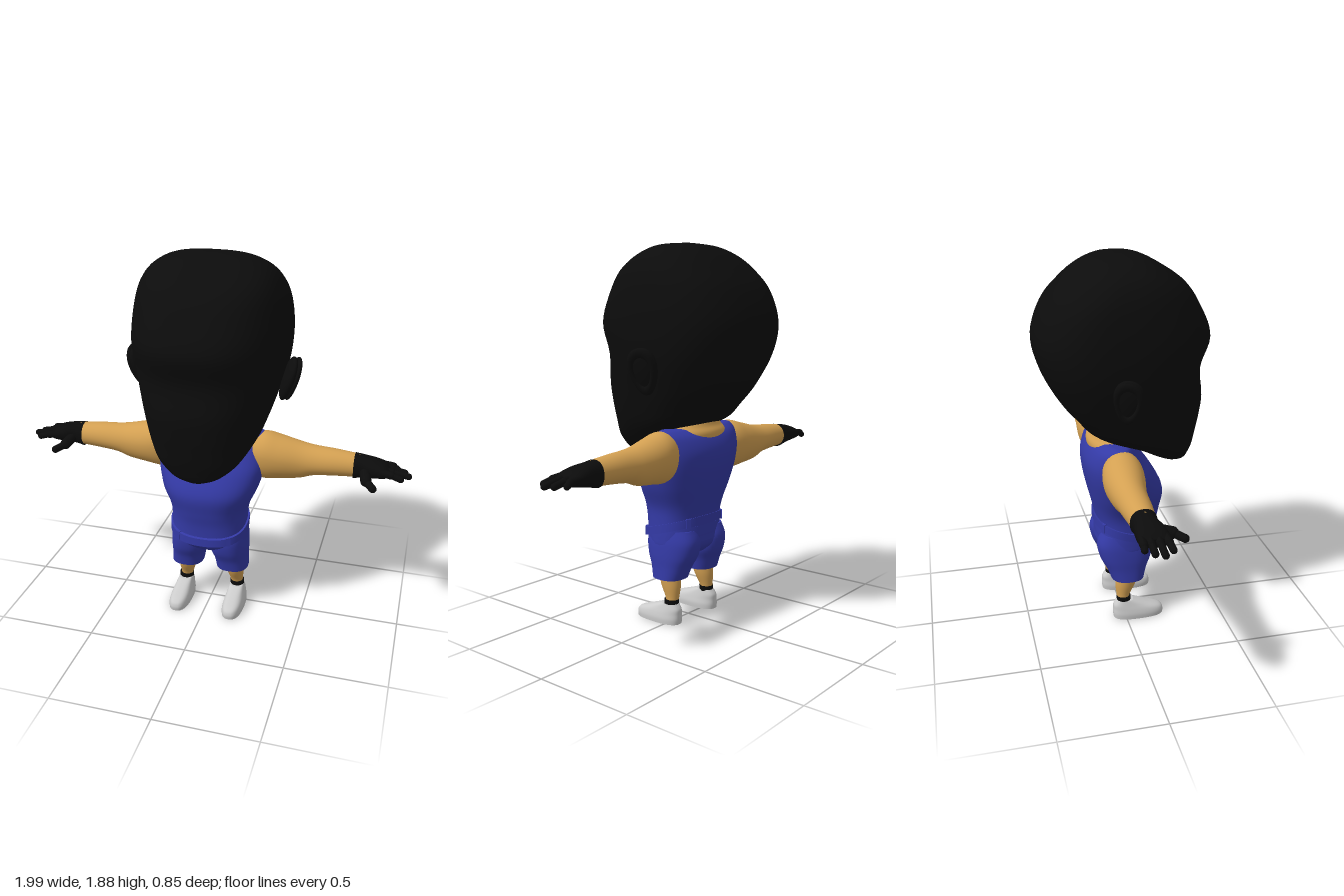
import * as THREE from 'three';

const mat = (color) => new THREE.MeshStandardMaterial({ color });

// Smooth value through the column of a section table (Catmull-Rom)
function sample(rows, f, k) {
  const last = rows.length - 1;
  const i = Math.min(Math.floor(f), last - 1), t = f - i;
  const p = (j) => rows[Math.min(Math.max(j, 0), last)][k];
  const [a, b, c, d] = [p(i - 1), p(i), p(i + 1), p(i + 2)];
  return 0.5 * (2 * b + (c - a) * t + (2 * a - 5 * b + 4 * c - d) * t * t + (3 * b - a - 3 * c + d) * t * t * t);
}

// Closed skin through superellipse sections stacked along y.
// Row: [y, centre x, centre z, radius x, radius +z, radius -z]
function loft(rows, power = 2, steps = 5, segs = 40) {
  const pos = [], idx = [];
  const rings = (rows.length - 1) * steps;
  const ring = (f, scale) => {
    const [y, cx, cz, rx, rf, rb] = [0, 1, 2, 3, 4, 5].map((k) => sample(rows, f, k));
    for (let s = 0; s < segs; s++) {
      const a = (s / segs) * Math.PI * 2, c = Math.cos(a), n = Math.sin(a);
      const bend = (v) => Math.sign(v) * Math.abs(v) ** (2 / power) * scale;
      pos.push(cx + rx * bend(c), y, cz + (n > 0 ? rf : rb) * bend(n));
    }
  };
  // Doubled end rings keep the cap edges crisp
  ring(0, 0); ring(0, 1);
  for (let r = 0; r <= rings; r++) ring(r / steps, 1);
  ring(rows.length - 1, 1); ring(rows.length - 1, 0);
  for (let r = 0; r < rings + 4; r++) {
    for (let s = 0; s < segs; s++) {
      const a = r * segs + s, b = r * segs + (s + 1) % segs;
      idx.push(a, a + segs, b, b, a + segs, b + segs);
    }
  }
  const g = new THREE.BufferGeometry();
  g.setAttribute('position', new THREE.Float32BufferAttribute(pos, 3));
  g.setIndex(idx);
  g.computeVertexNormals();
  return g;
}

// Turns a stacked loft sideways: y -> x, x -> z, z -> y
const alongX = (g) => g.applyMatrix4(new THREE.Matrix4().makeBasis(
  new THREE.Vector3(0, 0, 1), new THREE.Vector3(1, 0, 0), new THREE.Vector3(0, 1, 0)));

// Rounded rod between two points
function rod(a, b, radius) {
  const from = new THREE.Vector3(...a), to = new THREE.Vector3(...b);
  const dir = to.clone().sub(from);
  const g = new THREE.CapsuleGeometry(radius, dir.length(), 6, 14);
  g.applyQuaternion(new THREE.Quaternion().setFromUnitVectors(new THREE.Vector3(0, 1, 0), dir.normalize()));
  return g.translate(...from.add(to).multiplyScalar(0.5).toArray());
}

function mirrored(geometry) {
  const g = geometry.clone().scale(-1, 1, 1), ix = g.index.array;
  for (let i = 0; i < ix.length; i += 3) [ix[i], ix[i + 1]] = [ix[i + 1], ix[i]];
  g.computeVertexNormals();
  return g;
}

export function createModel() {
  const model = new THREE.Group();
  const black = mat(0x0c0c0c), skin = mat(0xd3a052), blue = mat(0x343aa6), grey = mat(0xcccccc);
  const add = (name, geometry, material) => {
    const mesh = new THREE.Mesh(geometry, material);
    mesh.name = name;
    model.add(mesh);
  };
  const pair = (name, geometry, material) => {
    add('left' + name, geometry, material);
    add('right' + name, mirrored(geometry), material);
  };

  // Oversized head with a long forward chin
  add('head', loft([
    [0.832, 0, 0.27, 0.04, 0.03, 0.03],
    [0.86, 0, 0.26, 0.11, 0.07, 0.06],
    [0.90, 0, 0.22, 0.17, 0.125, 0.09],
    [0.95, 0, 0.18, 0.215, 0.18, 0.15],
    [1.02, 0, 0.08, 0.26, 0.295, 0.23],
    [1.10, 0, 0.02, 0.29, 0.37, 0.25],
    [1.20, 0, -0.04, 0.32, 0.44, 0.27],
    [1.35, 0, -0.09, 0.36, 0.475, 0.30],
    [1.50, 0, -0.10, 0.372, 0.53, 0.32],
    [1.65, 0, -0.08, 0.36, 0.45, 0.29],
    [1.75, 0, -0.04, 0.33, 0.34, 0.245],
    [1.82, 0, -0.01, 0.275, 0.21, 0.19],
    [1.865, 0, 0, 0.18, 0.11, 0.11],
    [1.88, 0, 0, 0.04, 0.03, 0.03],
  ], 2.5, 5, 56), black);

  // Ears, flaring outward to the back and tapering to the lobe
  const placeEar = (g) => g.rotateY(0.35).rotateZ(-0.28).translate(0.372, 1.28, -0.04);
  const ear = new THREE.SphereGeometry(1, 24, 18).scale(0.03, 0.115, 0.068);
  const rim = new THREE.TorusGeometry(0.052, 0.013, 10, 28).rotateY(Math.PI / 2).scale(1, 1.75, 1).translate(0.022, 0.005, 0);
  for (const g of [ear, rim]) {
    const p = g.attributes.position;
    for (let i = 0; i < p.count; i++) p.setZ(i, p.getZ(i) * (1 + 2.5 * p.getY(i)));
    g.computeVertexNormals();
  }
  pair('Ear', placeEar(ear), black);
  pair('EarRim', placeEar(rim), black);

  // Neck and upper back
  add('neck', loft([
    [0.88, 0, -0.06, 0.20, 0.09, 0.09],
    [0.96, 0, -0.06, 0.19, 0.10, 0.105],
    [1.00, 0, -0.06, 0.155, 0.10, 0.085],
    [1.04, 0, -0.06, 0.12, 0.10, 0.075],
    [1.12, 0, -0.05, 0.11, 0.10, 0.07],
  ]), skin);

  // Sleeveless top
  add('tankTop', loft([
    [0.42, 0, 0.02, 0.197, 0.16, 0.15],
    [0.52, 0, 0.02, 0.195, 0.165, 0.145],
    [0.60, 0, 0.01, 0.203, 0.19, 0.15],
    [0.70, 0, 0, 0.245, 0.212, 0.165],
    [0.80, 0, -0.02, 0.272, 0.185, 0.165],
    [0.88, 0, -0.04, 0.278, 0.145, 0.147],
    [0.95, 0, -0.05, 0.277, 0.105, 0.11],
    [0.985, 0, -0.05, 0.262, 0.075, 0.07],
    [0.993, 0, -0.05, 0.235, 0.04, 0.04],
  ], 2.4), blue);

  // Shorts
  add('shortsHips', loft([
    [0.35, 0, 0.02, 0.16, 0.09, 0.10],
    [0.39, 0, 0.02, 0.195, 0.135, 0.14],
    [0.44, 0, 0.02, 0.198, 0.155, 0.148],
    [0.50, 0, 0.02, 0.195, 0.155, 0.145],
  ], 2.4), blue);
  pair('ShortsLeg', loft([
    [0.23, 0.122, 0.015, 0.083, 0.085, 0.085],
    [0.29, 0.115, 0.015, 0.087, 0.10, 0.11],
    [0.35, 0.105, 0.015, 0.097, 0.125, 0.14],
    [0.42, 0.102, 0.015, 0.095, 0.135, 0.152],
    [0.48, 0.10, 0.015, 0.085, 0.12, 0.13],
  ], 2.4), blue);

  // Waistband, dipping to the front
  const band = loft([[-0.021, 0, 0.02, 0.204, 0.174, 0.158], [0.021, 0, 0.02, 0.204, 0.174, 0.158]], 2.4, 2, 48);
  const bp = band.attributes.position;
  for (let i = 0; i < bp.count; i++) bp.setY(i, bp.getY(i) + 0.493 - 0.28 * bp.getZ(i));
  band.computeVertexNormals();
  add('waistband', band, blue);
  [[0.13, 0.16], [0.13, -0.107]].forEach(([x, z], i) => {
    const loop = new THREE.BoxGeometry(0.022, 0.046, 0.018).rotateY(i ? -0.55 : 0.45).translate(x, 0.493 - 0.28 * z, z);
    pair(i ? 'BackBeltLoop' : 'FrontBeltLoop', loop, blue);
  });

  // Arms, stretched out sideways
  pair('Arm', alongX(loft([
    [0.18, -0.04, 0.88, 0.08, 0.09, 0.12],
    [0.27, -0.045, 0.88, 0.098, 0.11, 0.14],
    [0.35, -0.05, 0.87, 0.098, 0.103, 0.122],
    [0.45, -0.055, 0.86, 0.083, 0.088, 0.10],
    [0.52, -0.055, 0.857, 0.075, 0.08, 0.073],
    [0.62, -0.055, 0.86, 0.068, 0.07, 0.065],
    [0.74, -0.055, 0.86, 0.055, 0.058, 0.058],
  ])), skin);

  // Gloves
  pair('GlovePalm', alongX(loft([
    [0.715, -0.055, 0.858, 0.061, 0.063, 0.063],
    [0.76, -0.055, 0.86, 0.058, 0.055, 0.055],
    [0.81, -0.05, 0.86, 0.068, 0.046, 0.046],
    [0.86, -0.048, 0.855, 0.07, 0.035, 0.033],
    [0.89, -0.048, 0.85, 0.055, 0.02, 0.02],
  ], 2.3)), black);
  const fingers = [[-0.10, -0.102, 0.92], [-0.066, -0.068, 0.96], [-0.03, -0.03, 0.98], [0.003, 0.013, 0.945]];
  fingers.forEach(([z0, z1, tip], i) => {
    const mid = [0.9, 0.855, (z0 + z1) / 2];
    pair('FingerBase' + (i + 1), rod([0.84, 0.862, z0], mid, 0.019), black);
    pair('FingerTip' + (i + 1), rod(mid, [tip, 0.842, z1], 0.016), black);
  });
  pair('ThumbBase', rod([0.77, 0.85, -0.02], [0.785, 0.832, 0.055], 0.027), black);
  pair('ThumbTip', rod([0.785, 0.832, 0.055], [0.822, 0.818, 0.1], 0.019), black);

  // Lower legs, socks and shoes
  pair('LowerLeg', loft([
    [0.09, 0.142, -0.01, 0.03, 0.03, 0.03],
    [0.13, 0.138, -0.01, 0.033, 0.035, 0.035],
    [0.19, 0.133, 0, 0.045, 0.055, 0.05],
    [0.25, 0.13, 0.01, 0.05, 0.06, 0.055],
    [0.30, 0.125, 0.01, 0.05, 0.06, 0.055],
  ]), skin);
  pair('Sock', new THREE.CylinderGeometry(0.037, 0.036, 0.045, 24).translate(0.142, 0.099, -0.008), black);
  pair('Shoe', loft([
    [0, 0.145, 0.06, 0.054, 0.14, 0.122],
    [0.025, 0.145, 0.06, 0.055, 0.142, 0.125],
    [0.05, 0.145, 0.05, 0.05, 0.135, 0.114],
    [0.075, 0.144, 0.02, 0.043, 0.095, 0.082],
    [0.10, 0.143, 0, 0.036, 0.042, 0.045],
  ], 2.6), grey);

  return model;
}
